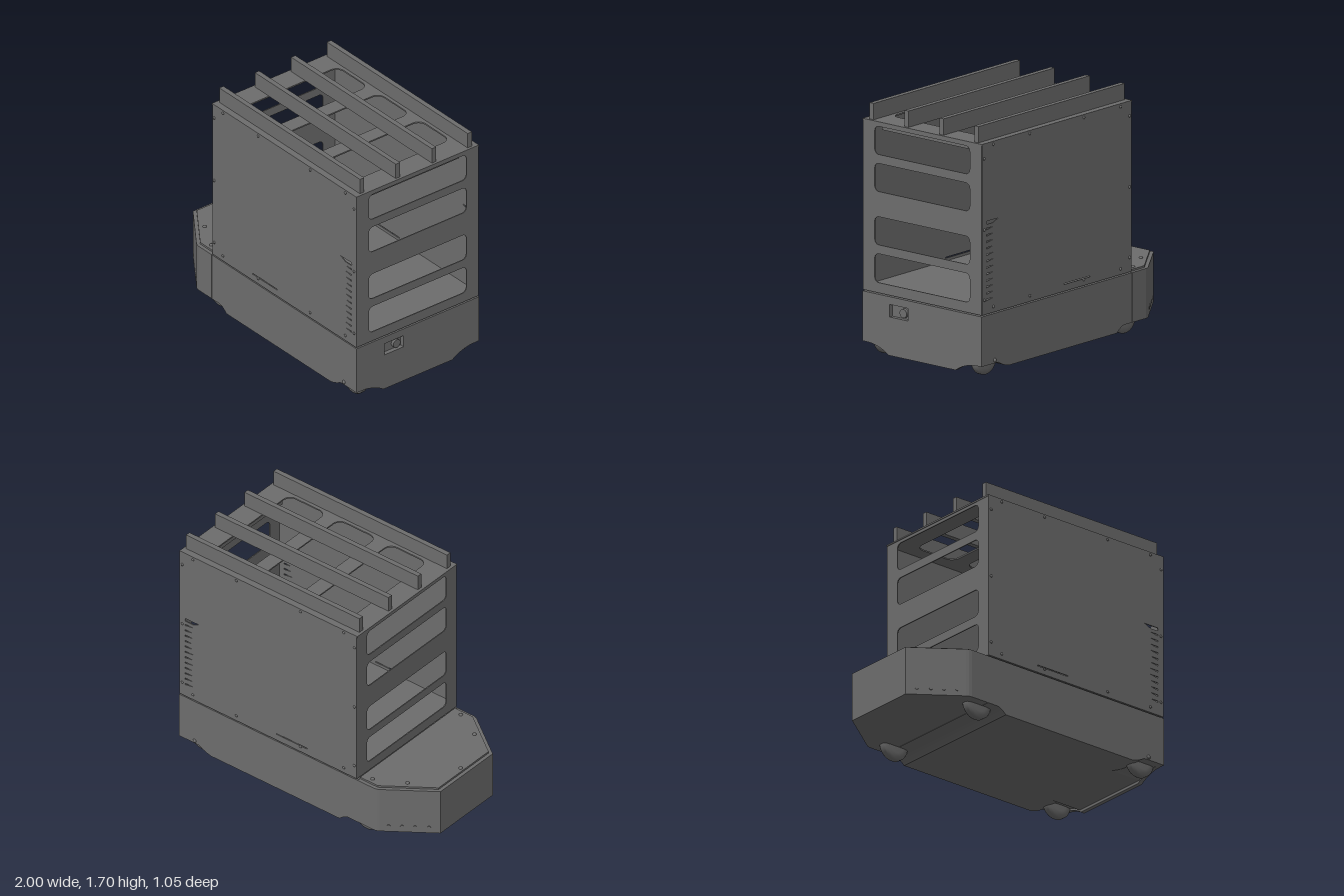
import * as THREE from 'three';

const paint = new THREE.MeshStandardMaterial({ color: 0x6d6d6d });

function add(parent, name, geo, x = 0, y = 0, z = 0) {
  const m = new THREE.Mesh(geo, paint);
  m.name = name;
  m.position.set(x, y, z);
  parent.add(m);
  return m;
}

const box = (w, h, d) => new THREE.BoxGeometry(w, h, d);
const poly = (pts) => new THREE.Shape(pts.map(([x, y]) => new THREE.Vector2(x, y)));
const rect = (x0, y0, x1, y1) => poly([[x0, y0], [x1, y0], [x1, y1], [x0, y1]]);

// rounded rectangular opening
function roundHole(x0, y0, x1, y1, r) {
  const p = new THREE.Path();
  p.absarc(x1 - r, y1 - r, r, 0, Math.PI / 2);
  p.absarc(x0 + r, y1 - r, r, Math.PI / 2, Math.PI);
  p.absarc(x0 + r, y0 + r, r, Math.PI, Math.PI * 1.5);
  p.absarc(x1 - r, y0 + r, r, Math.PI * 1.5, Math.PI * 2);
  p.closePath();
  return p;
}

const extrude = (shape, depth) =>
  new THREE.ExtrudeGeometry(shape, { depth, bevelEnabled: false, curveSegments: 8 });
// plate drawn in (z, y), running towards -x
const endPlate = (shape, depth) => extrude(shape, depth).rotateY(-Math.PI / 2);
// plate drawn in (x, z), running downwards
const flatPlate = (shape, depth) => extrude(shape, depth).rotateX(Math.PI / 2);

// domed screw head, pointing up
const screwGeo = (r) => new THREE.SphereGeometry(r, 12, 5, 0, Math.PI * 2, 0, Math.PI / 2);

function buildBase() {
  const g = new THREE.Group();
  g.name = 'base';
  add(g, 'baseBody', box(1.47, 0.337, 1.03), 0.235, 0.2585, 0);

  // underbody between the wheels, swept up at both arches
  const belly = new THREE.Shape();
  belly.moveTo(-0.49, 0.1);
  belly.lineTo(-0.43, 0.092);
  belly.quadraticCurveTo(-0.39, 0.088, -0.35, 0.048);
  belly.lineTo(0.73, 0.048);
  belly.quadraticCurveTo(0.79, 0.06, 0.83, 0.088);
  belly.lineTo(0.97, 0.1);
  add(g, 'underbody', extrude(belly, 1.03), 0, 0, -0.515);

  // tail section between the driven wheels
  const tail = new THREE.Shape();
  tail.moveTo(-0.42, 0.1);
  tail.quadraticCurveTo(-0.35, 0.085, -0.3, 0.048);
  tail.lineTo(0.3, 0.048);
  tail.quadraticCurveTo(0.35, 0.085, 0.42, 0.1);
  add(g, 'tailUnderbody', endPlate(tail, 0.25), 0.97);

  // end panel with arches and a recessed control pocket
  const end = new THREE.Shape();
  end.moveTo(-0.515, 0.427);
  end.lineTo(-0.515, 0.09);
  end.lineTo(-0.44, 0.088);
  end.quadraticCurveTo(-0.35, 0.075, -0.29, 0.03);
  end.lineTo(0.29, 0.03);
  end.quadraticCurveTo(0.35, 0.075, 0.44, 0.088);
  end.lineTo(0.515, 0.09);
  end.lineTo(0.515, 0.427);
  end.holes.push(rect(0.12, 0.29, 0.28, 0.375));
  add(g, 'endPanel', endPlate(end, 0.03), 1);
  const knob = new THREE.CylinderGeometry(0.03, 0.03, 0.025, 20).rotateZ(Math.PI / 2);
  add(g, 'controlButton', knob, 0.98, 0.33, 0.17);

  for (const s of [-1, 1]) {
    add(g, 'baseScrew', screwGeo(0.014).rotateX(s * Math.PI / 2), 0.87, 0.11, s * 0.513);
  }
  // spacers carrying the rack
  for (const x of [-0.44, 0.94]) for (const z of [-0.46, -0.34, 0, 0.34, 0.46]) {
    add(g, 'spacer', new THREE.CylinderGeometry(0.018, 0.018, 0.02, 12), x, 0.431, z);
  }
  return g;
}

function buildNose() {
  const g = new THREE.Group();
  g.name = 'nose';
  // half outlines, mirrored across the centre line
  const mirrored = (half) => poly([...half, ...half.map(([x, z]) => [x, -z]).reverse()]);
  const plan = mirrored([[-0.503, 0.515], [-0.64, 0.515], [-0.66, 0.511], [-0.677, 0.502], [-1, 0.27]]);
  add(g, 'noseBody', flatPlate(plan, 0.337), 0, 0.427);
  const lid = mirrored([[-0.503, 0.49], [-0.652, 0.49], [-0.975, 0.258]]);
  add(g, 'noseLid', flatPlate(lid, 0.02), 0, 0.44);
  for (const [x, z] of [[-0.95, 0], [-0.785, 0.345], [-0.785, -0.345], [-0.58, 0.455], [-0.58, -0.455]]) {
    add(g, 'lidScrew', screwGeo(0.014), x, 0.438, z);
  }
  // sensor studs on the slanted faces
  const slant = Math.atan2(0.232, 0.323);
  for (const s of [-1, 1]) for (const x of [-0.94, -0.865, -0.795, -0.725]) {
    const stud = new THREE.CylinderGeometry(0.011, 0.011, 0.008, 12).rotateX(Math.PI / 2);
    const z = 0.27 + (x + 1) * 0.232 / 0.323;
    add(g, 'sensorStud', stud, x, 0.135, s * z).rotation.y = -s * slant;
  }
  return g;
}

function buildRack() {
  const g = new THREE.Group();
  g.name = 'rack';

  // thin side panels with vents
  const side = rect(-0.494, 0.436, 0.994, 1.59);
  side.holes.push(rect(-0.08, 0.482, 0.18, 0.489));
  side.holes.push(poly([[0.835, 1.064], [0.885, 1.042], [0.945, 1.042], [0.952, 1.053], [0.945, 1.064]]));
  for (let i = 0; i < 12; i++) {
    const y = 0.527 + i * 0.0435;
    side.holes.push(poly([[0.885, y + 0.011], [0.95, y], [0.95, y + 0.011]]));
  }
  for (const s of [-1, 1]) {
    add(g, 'sidePanel', extrude(side, 0.007), 0, 0, s > 0 ? 0.508 : -0.515);
    const spots = [];
    for (const x of [-0.385, -0.02, 0.52, 0.885]) spots.push([x, 1.57], [x, 0.475]);
    for (const y of [1.49, 1.01, 0.535]) spots.push([-0.475, y], [0.975, y]);
    for (const [x, y] of spots) {
      add(g, 'panelScrew', screwGeo(0.01).rotateX(s * Math.PI / 2), x, y, s * 0.514);
    }
  }

  // ladder-like end frames of thin sheet
  const frame = rect(-0.513, 0.436, 0.513, 1.588);
  for (const [y0, y1] of [[0.505, 0.7], [0.76, 0.95], [1.12, 1.31], [1.37, 1.56]]) {
    frame.holes.push(roundHole(-0.41, y0, 0.41, y1, 0.035));
  }
  add(g, 'endFrame', endPlate(frame, 0.007), 0.998);
  add(g, 'endFrame', endPlate(frame, 0.007), -0.489);

  // floor, top plate and the stiffener under its end
  add(g, 'floor', box(1.47, 0.028, 1.01), 0.25, 0.451, 0);
  const top = rect(-0.5, -0.515, 0.998, 0.515);
  for (const [x0, x1] of [[-0.335, -0.02], [0.09, 0.41], [0.515, 0.83]]) {
    top.holes.push(roundHole(x0, -0.41, x1, 0.41, 0.06));
  }
  add(g, 'topPlate', flatPlate(top, 0.01), 0, 1.591);
  add(g, 'topStiffener', box(0.12, 0.05, 0.74), 0.91, 1.557, 0);

  // load rails
  for (const z of [-0.452, -0.152, 0.152, 0.452]) {
    add(g, 'loadRail', box(1.46, 0.112, 0.035), 0.25, 1.645, z);
  }
  return g;
}

function buildWheels() {
  const g = new THREE.Group();
  g.name = 'wheels';
  const profile = [[0, -0.034], [0.06, -0.034], [0.085, -0.03], [0.1, -0.024], [0.105, -0.015],
    [0.105, 0.015], [0.1, 0.024], [0.085, 0.03], [0.06, 0.034], [0, 0.034]];
  const points = profile.map(([r, y]) => new THREE.Vector2(r, y));
  const geo = new THREE.LatheGeometry(points, 36).rotateX(Math.PI / 2);
  for (const x of [-0.52, 0.87]) for (const z of [-0.42, 0.42]) add(g, 'wheel', geo, x, 0.105, z);
  return g;
}

export function createModel() {
  const model = new THREE.Group();
  model.name = 'transportCart';
  model.add(buildBase(), buildNose(), buildRack(), buildWheels());
  return model;
}
